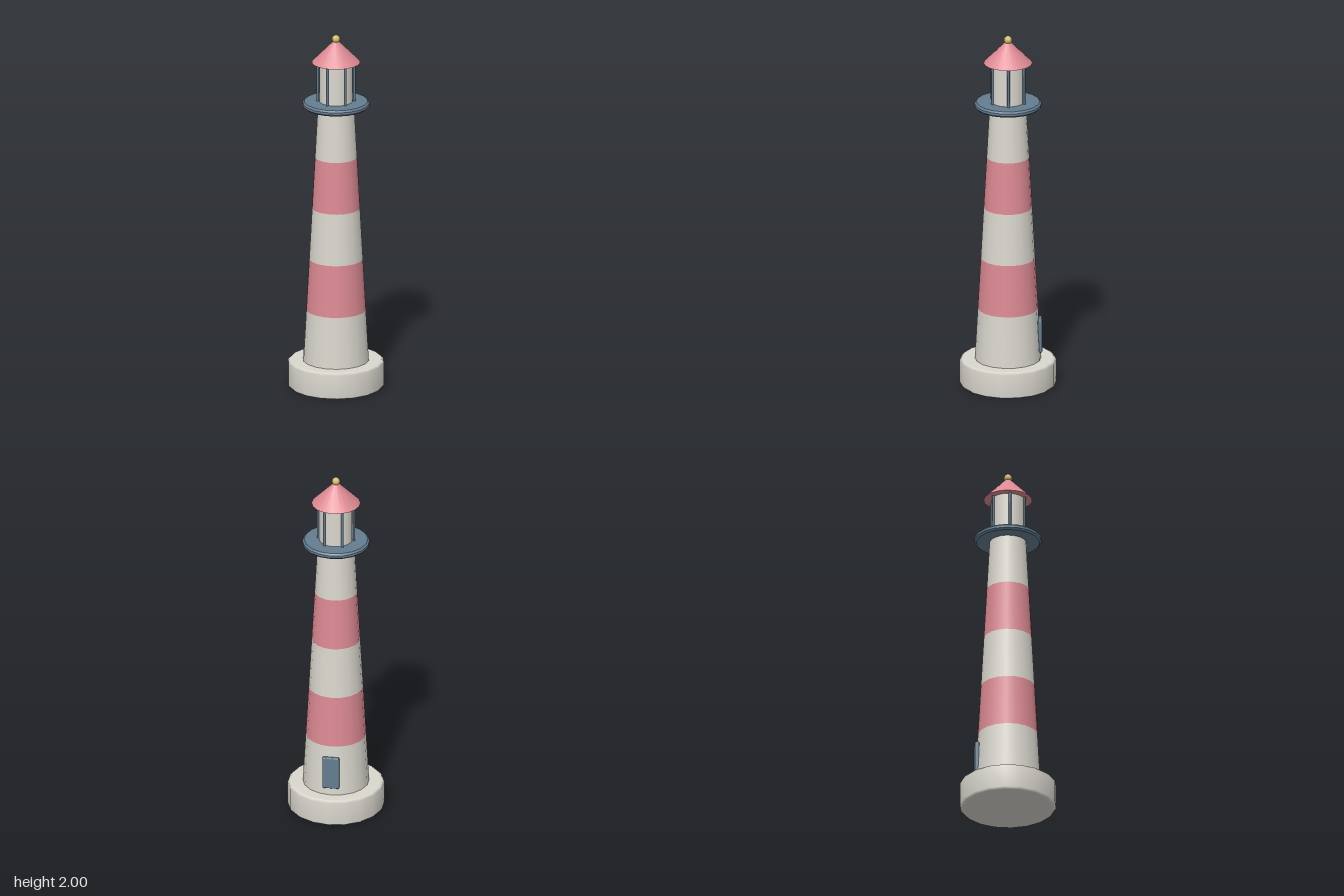
import * as THREE from 'three';
import { toCreasedNormals } from 'three/addons/utils/BufferGeometryUtils.js';
import { RoundedBoxGeometry } from 'three/addons/geometries/RoundedBoxGeometry.js';

const SIDES = 18;

function material(name, color) {
  const m = new THREE.MeshStandardMaterial({ color });
  m.name = name;
  return m;
}

// Closed disc with a chamfered rim, standing on y = 0
function chamferedDisc(radius, height, bevel) {
  const r = radius - bevel;
  const profile = [
    [0, 0], [r - bevel, 0], [r, 0], [radius, bevel],
    [radius, height - bevel], [r, height], [r - bevel, height], [0, height],
  ].map(([x, y]) => new THREE.Vector2(x, y));
  return new THREE.LatheGeometry(profile, SIDES);
}

export function createModel() {
  const white = material('offWhite', 0xdad7ce);
  const red = material('softRed', 0xdd8a93);
  const blue = material('slateBlue', 0x647d90);
  const gold = material('gold', 0xd2b868);

  const model = new THREE.Group();
  model.name = 'lighthouse';

  function add(name, geometry, mat, x = 0, y = 0, z = 0) {
    const mesh = new THREE.Mesh(geometry, mat);
    mesh.name = name;
    mesh.position.set(x, y, z);
    model.add(mesh);
    return mesh;
  }

  // Foundation
  add('foundation', chamferedDisc(0.263, 0.147, 0.011), white);

  // Tapered tower in five alternating bands
  const bottom = 0.145, top = 1.595, bands = 5;
  const step = (top - bottom) / bands;
  const radiusAt = (t) => THREE.MathUtils.lerp(0.18, 0.1, t);
  for (let i = 0; i < bands; i++) {
    const band = new THREE.CylinderGeometry(
      radiusAt((i + 1) / bands), radiusAt(i / bands), step, SIDES, 1, true);
    add(`towerBand${i + 1}`, band, i % 2 ? red : white, 0, bottom + step * (i + 0.5), 0);
  }

  // Door on the back of the tower
  add('door', new RoundedBoxGeometry(0.092, 0.185, 0.024, 1, 0.006), blue, 0, 0.28, -0.173);

  // Gallery around the lantern room
  add('gallery', toCreasedNormals(chamferedDisc(0.183, 0.033, 0.01), 0.6), blue, 0, 1.59, 0);

  // Lantern room with six posts
  add('lanternRoom', new THREE.CylinderGeometry(0.091, 0.091, 0.225, SIDES), white, 0, 1.733, 0);
  for (let i = 0; i < 6; i++) {
    const a = (i * Math.PI) / 3;
    add(`lanternPost${i + 1}`, new THREE.CylinderGeometry(0.007, 0.007, 0.226, 6), blue,
      Math.cos(a) * 0.099, 1.733, Math.sin(a) * 0.099);
  }

  // Roof and finial
  add('roof', new THREE.ConeGeometry(0.133, 0.135, SIDES), red, 0, 1.9125, 0);
  add('finial', new THREE.SphereGeometry(0.023, 10, 8), gold, 0, 1.977, 0);

  return model;
}
